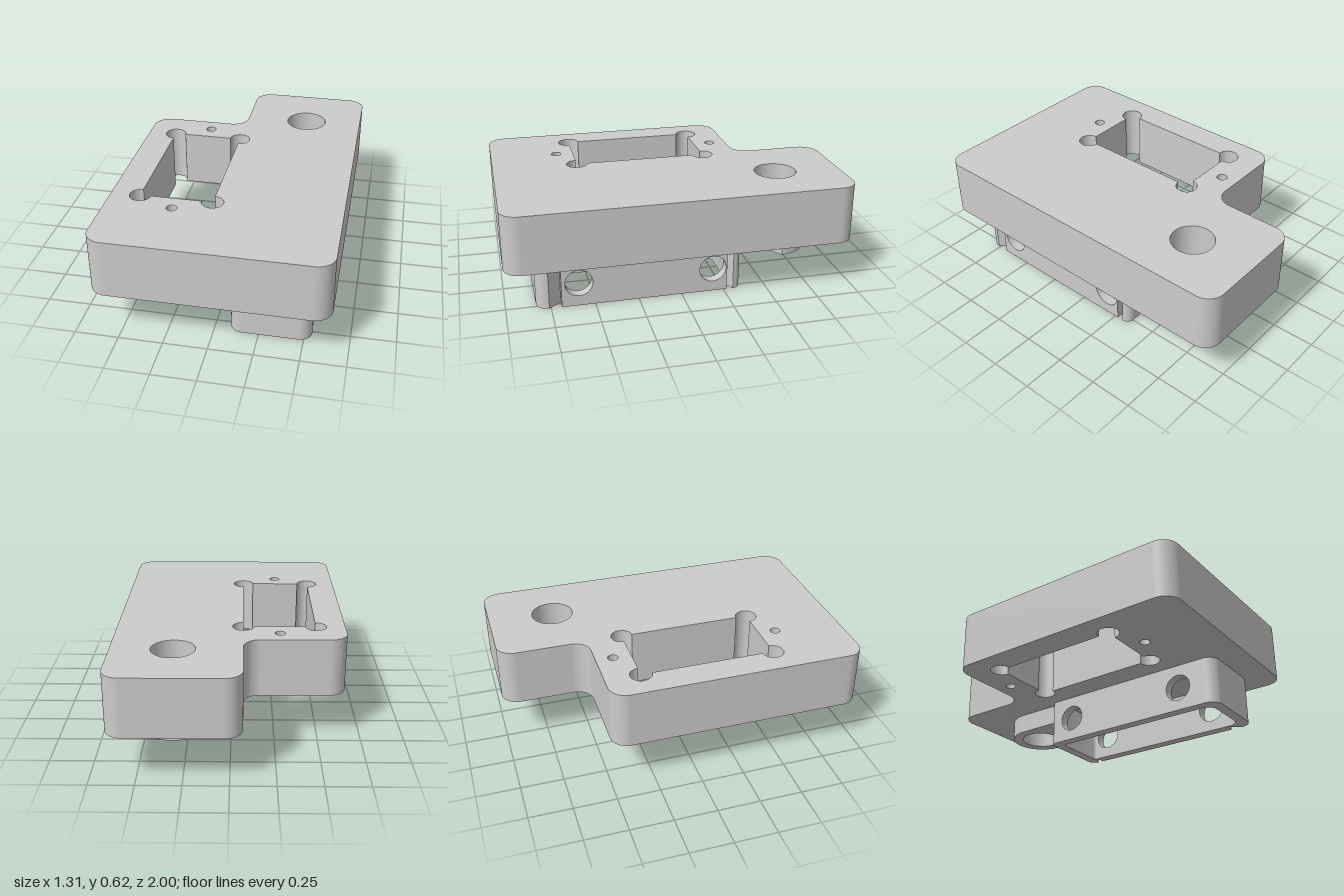
import * as THREE from 'three';
import { toCreasedNormals } from 'three/addons/utils/BufferGeometryUtils.js';

const material = new THREE.MeshStandardMaterial({ color: 0xcccccc });
const PI = Math.PI;

// Plan shapes use (x, p) with p = -z.
function extrude(shape, depth) {
  return new THREE.ExtrudeGeometry(shape, { depth, bevelEnabled: false, curveSegments: 20 });
}

function addMesh(group, name, geometry) {
  const mesh = new THREE.Mesh(toCreasedNormals(geometry, 0.6), material);
  mesh.name = name;
  group.add(mesh);
}

// Plan shape raised from y0 to y1
function slab(shape, y0, y1) {
  return extrude(shape, y1 - y0).rotateX(-PI / 2).translate(0, y0, 0);
}

function circle(x, y, r) {
  return new THREE.Path().absarc(x, y, r, 0, PI * 2, false);
}

// Rectangular opening with a round relief at every corner
function relievedOpening(x0, x1, p0, p1, r) {
  const path = new THREE.Path();
  [[x1, p1], [x0, p1], [x0, p0], [x1, p0]].forEach(([x, p], i) => {
    const start = -PI / 2 + i * PI / 2;
    path.absarc(x, p, r, start, start + PI * 1.5, false);
  });
  path.closePath();
  return path;
}

// U-shaped end of the bracket; dir is +1 towards the back, -1 towards the front
function bracketEnd(x0, x1, pJoin, pEnd, wall, rOut, rIn, dir) {
  const s = new THREE.Shape();
  const pIn = pEnd - dir * wall;
  const corner = (x, p, r, a0, a1, cw) => s.absarc(x, p, r, dir * a0, dir * a1, dir > 0 ? cw : !cw);
  s.moveTo(x1, pJoin);
  corner(x1 - rOut, pEnd - dir * rOut, rOut, 0, PI / 2, false);
  corner(x0 + rOut, pEnd - dir * rOut, rOut, PI / 2, PI, false);
  s.lineTo(x0, pJoin);
  s.lineTo(x0 + wall, pJoin);
  corner(x0 + wall + rIn, pIn - dir * rIn, rIn, PI, PI / 2, true);
  corner(x1 - wall - rIn, pIn - dir * rIn, rIn, PI / 2, 0, true);
  s.lineTo(x1 - wall, pJoin);
  s.closePath();
  return s;
}

export function createModel() {
  const group = new THREE.Group();
  const yMid = 0.28, yTop = 0.62;
  const bore = [0.31, 0.618, 0.123];

  // Stepped plate with rounded corners
  const X = 0.655, R = 0.1, stepX = -0.07, stepP = 0.485;
  const plate = new THREE.Shape();
  plate.absarc(X - R, -1 + R, R, -PI / 2, 0, false);
  plate.absarc(X - R, 1 - R, R, 0, PI / 2, false);
  plate.absarc(stepX + R, 1 - R, R, PI / 2, PI, false);
  plate.absarc(stepX - R, stepP + R, R, 0, -PI / 2, true);
  plate.absarc(-X + R, stepP - R, R, PI / 2, PI, false);
  plate.absarc(-X + R, -1 + R, R, PI, PI * 1.5, false);
  plate.closePath();
  plate.holes.push(
    relievedOpening(-0.485, -0.07, -0.5, 0.28, 0.062),
    circle(-0.278, 0.385, 0.03),
    circle(-0.278, -0.602, 0.03),
    circle(...bore)
  );
  addMesh(group, 'plate', slab(plate, yMid, yTop));

  // Rounded boss around the bore, running into the bracket
  const boss = new THREE.Shape();
  const bossR = 0.185;
  boss.moveTo(bore[0] + bossR, 0.34);
  boss.absarc(bore[0], bore[1], bossR, 0, PI, false);
  boss.lineTo(bore[0] - bossR, 0.34);
  boss.closePath();
  boss.holes.push(circle(...bore));
  addMesh(group, 'boss', slab(boss, 0.16, yMid));

  // Hollow bracket under the plate: two ends and two drilled side walls
  const x0 = 0.085, x1 = 0.54, wall = 0.06, front = 0.69, back = -0.27;
  addMesh(group, 'bracketFrontEnd', slab(bracketEnd(x0, x1, -front, -0.83, wall, 0.07, 0.06, -1), 0, yMid));
  addMesh(group, 'bracketBackEnd', slab(bracketEnd(x0, x1, -back, 0.352, wall, 0.045, 0.02, 1), 0, yMid));

  const side = new THREE.Shape();
  side.moveTo(back, 0);
  side.lineTo(front, 0);
  side.lineTo(front, yMid);
  side.lineTo(back, yMid);
  side.closePath();
  side.holes.push(circle(0.59, 0.14, 0.079), circle(-0.185, 0.14, 0.079));
  for (const [name, x] of [['bracketLeftWall', x1], ['bracketRightWall', x0 + wall]]) {
    addMesh(group, name, extrude(side, wall).rotateY(-PI / 2).translate(x, 0, 0));
  }

  return group;
}
